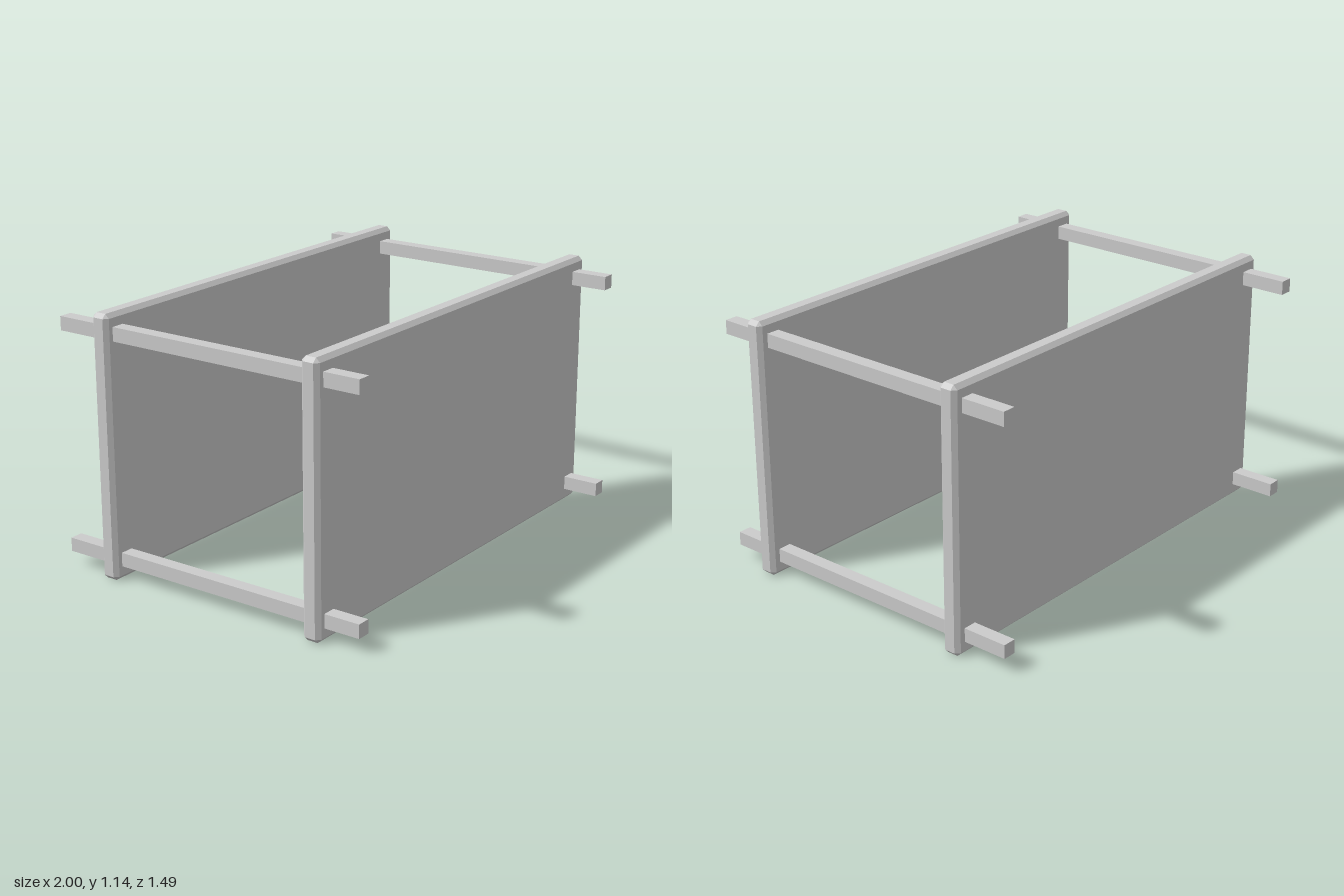
import * as THREE from 'three';
import { ConvexGeometry } from 'three/addons/geometries/ConvexGeometry.js';

// Box with a single flat chamfer on every edge and corner
function chamferedBox(w, h, d, c) {
  const points = [];
  for (const sx of [-1, 1]) for (const sy of [-1, 1]) for (const sz of [-1, 1]) {
    const x = w / 2, y = h / 2, z = d / 2;
    points.push(
      new THREE.Vector3(sx * x, sy * (y - c), sz * (z - c)),
      new THREE.Vector3(sx * (x - c), sy * y, sz * (z - c)),
      new THREE.Vector3(sx * (x - c), sy * (y - c), sz * z));
  }
  return new ConvexGeometry(points);
}

export function createModel() {
  const group = new THREE.Group();
  const material = new THREE.MeshStandardMaterial({ color: 0xcccccc, flatShading: true });
  const add = (name, geometry, x, y, z) => {
    const mesh = new THREE.Mesh(geometry, material);
    mesh.name = name;
    mesh.position.set(x, y, z);
    group.add(mesh);
  };

  // Two upright panels
  const height = 1.14;
  const panel = chamferedBox(2, height, 0.083, 0.018);
  add('frontPanel', panel, 0, height / 2, 0.538);
  add('backPanel', panel, 0, height / 2, -0.499);

  // Four square rails running through the panel corners
  const rail = new THREE.BoxGeometry(0.06, 0.06, 1.485);
  for (const [side, x] of [['right', -0.933], ['left', 0.928]]) {
    for (const [level, y] of [['Lower', 0.089], ['Upper', 1.055]]) {
      add(`${side}${level}Rail`, rail, x, y, 0);
    }
  }
  return group;
}
